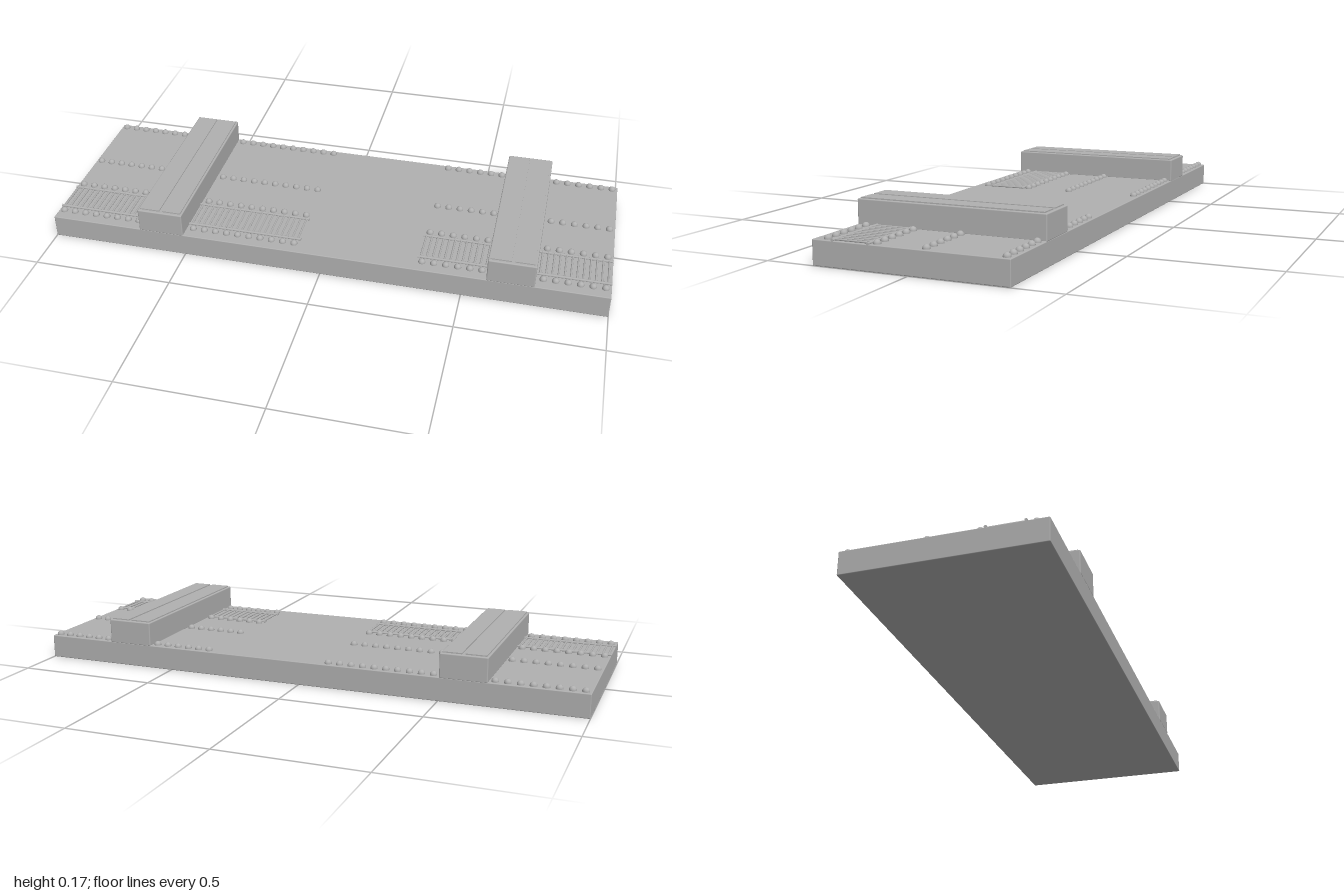
import * as THREE from 'three';
import { RoundedBoxGeometry } from 'three/addons/geometries/RoundedBoxGeometry.js';

const stone = new THREE.MeshStandardMaterial({ color: 0xb0b0b0 });
stone.name = 'light grey';

const TOP = 0.083; // height of the slab's upper face
const HALF_DEPTH = 0.333;
const PITCH = 1 / 24; // spacing of the studs

function add(parent, geometry, name, x, y, z) {
  const mesh = new THREE.Mesh(geometry, stone);
  mesh.name = name;
  mesh.position.set(x, y, z);
  parent.add(mesh);
  return mesh;
}

// Rounded block spanning x0..x1, y0..y1 and the given depth
function block(parent, name, x0, x1, y0, y1, depth, radius) {
  add(parent, new RoundedBoxGeometry(x1 - x0, y1 - y0, depth, 2, radius), name, (x0 + x1) / 2, (y0 + y1) / 2, 0);
}

// Raised beam with two thin cover plates along its top
function makeBeam(x) {
  const beam = new THREE.Group();
  beam.name = 'crossBeam';
  block(beam, 'beamBody', -0.082, 0.082, TOP - 0.003, 0.167, HALF_DEPTH * 2, 0.004);
  for (const [x0, x1] of [[-0.075, -0.003], [0.009, 0.075]]) {
    add(beam, new THREE.BoxGeometry(x1 - x0, 0.007, 0.646), 'coverPlate', (x0 + x1) / 2, 0.1675, 0);
  }
  beam.position.x = x;
  return beam;
}

// Ladder-like strip: two round rails joined by slim rungs
function makeGrille(x0, x1) {
  const grille = new THREE.Group();
  grille.name = 'grille';
  const z0 = 0.136, z1 = 0.26;
  for (const z of [z0, z1]) {
    const rail = new THREE.CylinderGeometry(0.005, 0.005, x1 - x0, 10).rotateZ(Math.PI / 2);
    add(grille, rail, 'rail', (x0 + x1) / 2, TOP + 0.002, z);
  }
  const rung = new THREE.CylinderGeometry(0.0035, 0.0035, z1 - z0, 8).rotateX(Math.PI / 2);
  const step = PITCH / 2;
  for (let x = x0 + step / 2; x < x1; x += step) {
    add(grille, rung, 'rung', x, TOP + 0.003, (z0 + z1) / 2);
  }
  return grille;
}

export function createModel() {
  const model = new THREE.Group();
  model.name = 'studdedPlatform';

  // Base slab
  block(model, 'baseSlab', -1, 1, 0, TOP, HALF_DEPTH * 2, 0.003);

  // Cross beams
  model.add(makeBeam(-0.585), makeBeam(0.665));

  // Rows of domed studs, interrupted by the beams and the bare middle
  const studs = new THREE.Group();
  studs.name = 'studs';
  model.add(studs);
  const dome = new THREE.SphereGeometry(0.0125, 12, 6, 0, Math.PI * 2, 0, Math.PI / 2);
  for (const z of [-0.312, -0.053, 0.114, 0.287]) {
    for (const [first, count] of [[0, 8], [12, 10], [32, 6], [42, 6]]) {
      for (let i = 0; i < count; i++) {
        add(studs, dome, 'stud', -0.979 + (first + i) * PITCH, TOP + 0.002, z);
      }
    }
    // Low strip closing the underside of the raised domes
  }
  const collar = new THREE.CylinderGeometry(0.0125, 0.0125, 0.003, 12);
  for (const stud of [...studs.children]) {
    add(studs, collar, 'studCollar', stud.position.x, TOP + 0.0005, stud.position.z);
  }

  // Grilles between the two front stud rows
  for (const [x0, x1] of [[-1, -0.667], [-0.503, -0.085], [0.335, 0.583], [0.747, 1]]) {
    model.add(makeGrille(x0, x1));
  }
  return model;
}
